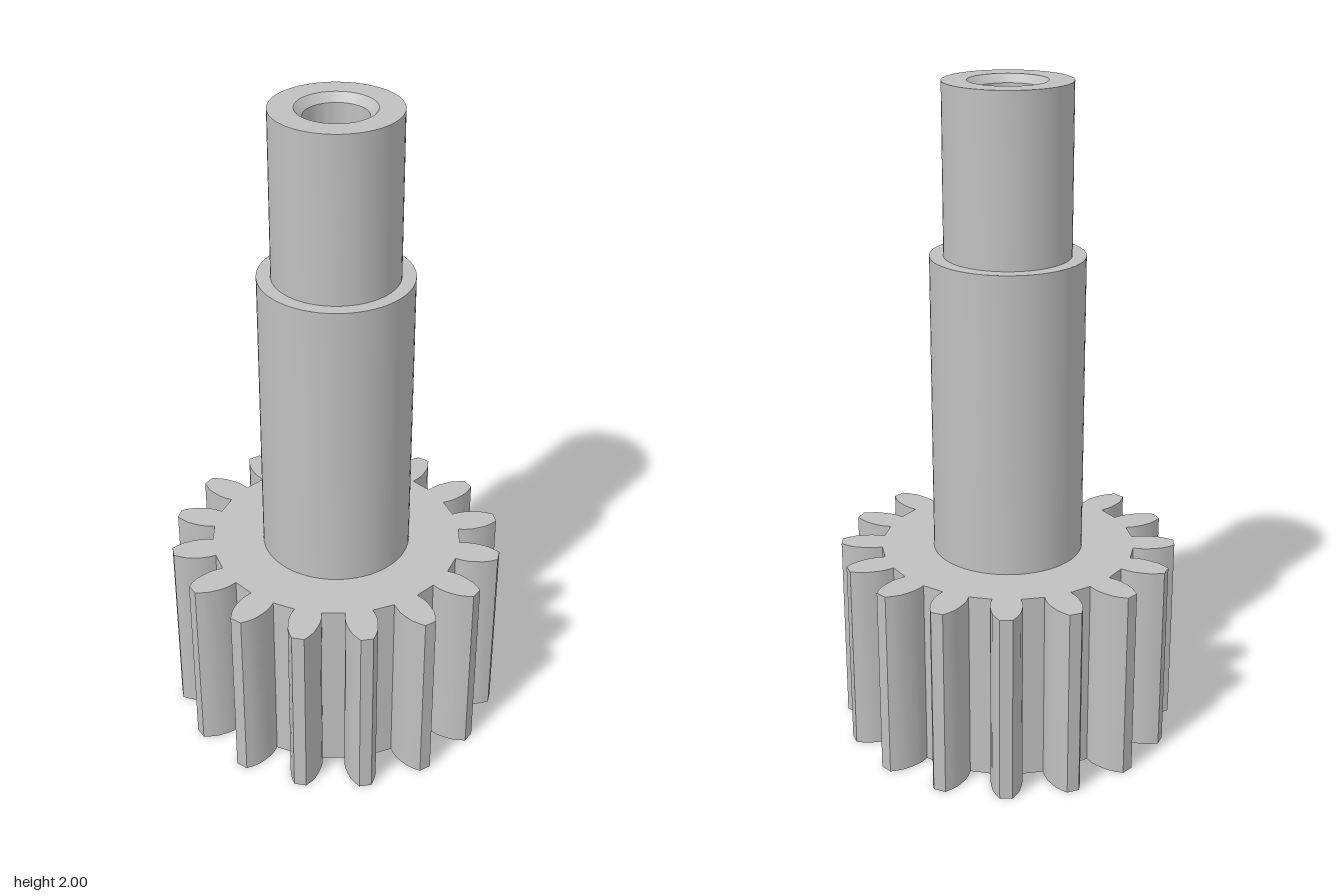
import * as THREE from 'three';
import { toCreasedNormals } from 'three/addons/utils/BufferGeometryUtils.js';

const GEAR_H = 0.585, TEETH = 16, BORE_R = 0.092;

// tooth flank: radius, half angle in degrees
const FLANK = [[0.387, 6.1], [0.41, 6.45], [0.43, 6.3], [0.45, 5.7], [0.475, 4.8], [0.495, 3.5], [0.513, 2.1]];

function gearShape() {
  const pts = [];
  for (let i = 0; i < TEETH; i++) {
    const mid = ((i + 0.5) / TEETH) * Math.PI * 2;
    const add = ([r, deg], side) => {
      const a = mid + side * THREE.MathUtils.degToRad(deg);
      pts.push(new THREE.Vector2(r * Math.cos(a), r * Math.sin(a)));
    };
    FLANK.forEach((f) => add(f, -1));
    [...FLANK].reverse().forEach((f) => add(f, 1));
  }
  const shape = new THREE.Shape(pts);
  shape.holes.push(new THREE.Path().absarc(0, 0, 0.178, 0, Math.PI * 2, true));
  return shape;
}

// extrude upwards from height y
function extrudeUp(shape, y, depth) {
  const g = new THREE.ExtrudeGeometry(shape, { depth, bevelEnabled: false, curveSegments: 32 });
  return toCreasedNormals(g.rotateX(-Math.PI / 2).translate(0, y, 0), 0.4);
}

function turned(profile) {
  const pts = profile.map(([r, y]) => new THREE.Vector2(r, y));
  return toCreasedNormals(new THREE.LatheGeometry(pts, 64), 0.5);
}

export function createModel() {
  const group = new THREE.Group();
  const steel = new THREE.MeshStandardMaterial({ color: 0xc0c0c0 });
  steel.name = 'steel grey';
  const add = (name, geometry) => {
    const mesh = new THREE.Mesh(geometry, steel);
    mesh.name = name;
    group.add(mesh);
  };

  add('gear', extrudeUp(gearShape(), 0, GEAR_H));

  // stepped shaft with a chamfered blind bore in its top
  add('shaft', turned([
    [0.228, GEAR_H - 0.01], [0.228, 1.5], [0.187, 1.5], [0.187, 2],
    [0.115, 2], [BORE_R, 1.977], [BORE_R, 1.6], [0, 1.6],
  ]));

  // chamfered blind bore in the underside
  add('lowerBore', turned([[0, 0.5], [0.145, 0.5], [0.145, 0.033], [0.178, 0]]));

  // flat side of the D-shaped upper bore
  const a = Math.asin(0.04 / BORE_R);
  const flat = new THREE.Shape().absarc(0, 0, BORE_R, Math.PI + a, Math.PI * 2 - a, false);
  add('boreFlat', extrudeUp(flat, 1.6, 0.34));

  return group;
}
